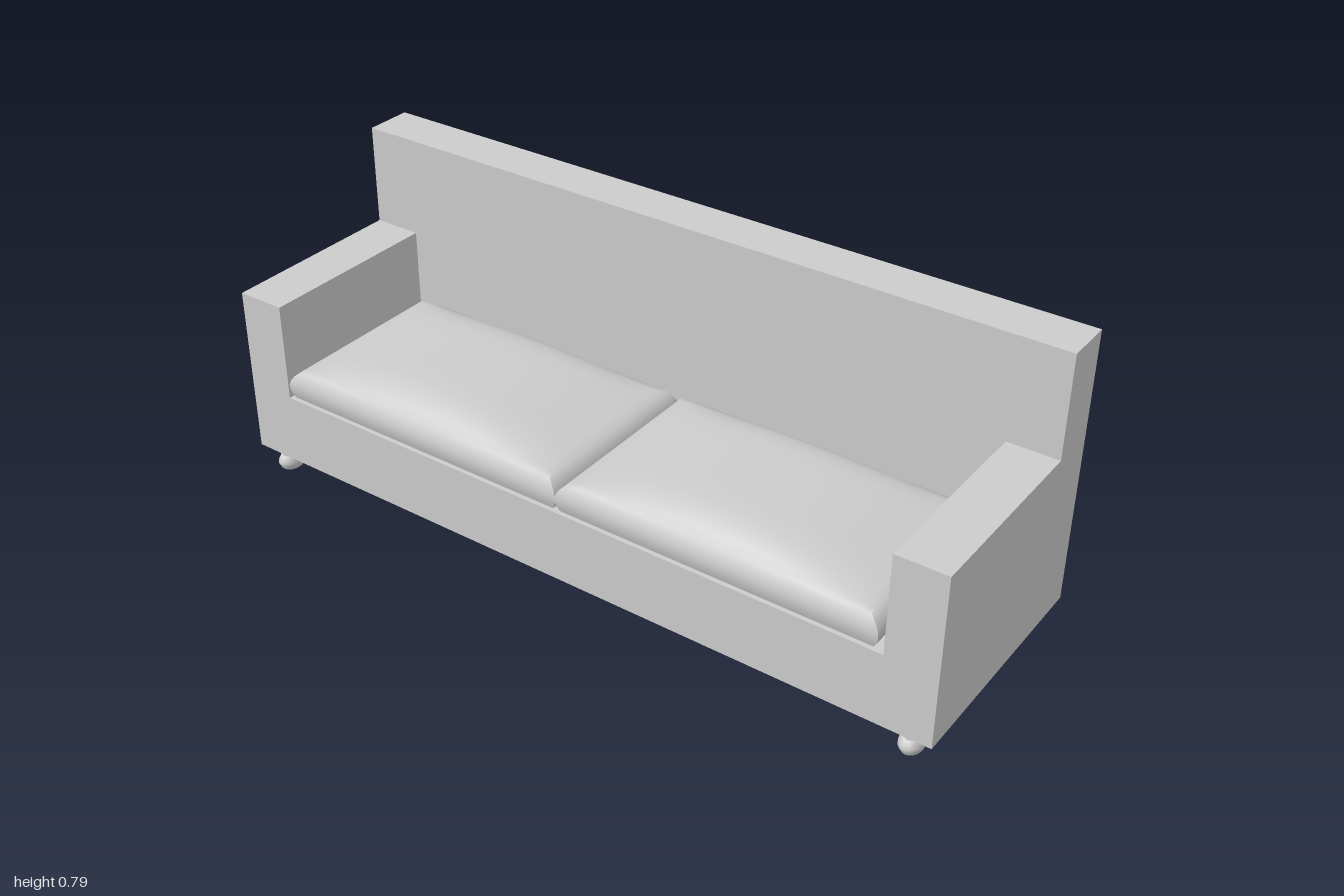
import * as THREE from 'three';
import { mergeVertices, toCreasedNormals } from 'three/addons/utils/BufferGeometryUtils.js';

const material = new THREE.MeshStandardMaterial({ color: 0xcccccc });

function addMesh(parent, name, geometry, x = 0, y = 0, z = 0) {
  const mesh = new THREE.Mesh(geometry, material);
  mesh.name = name;
  mesh.position.set(x, y, z);
  parent.add(mesh);
  return mesh;
}

// Seat cushion: a box with bulging sides and a domed top, resting on y = 0
function cushionGeometry(width, depth) {
  const geometry = new THREE.BoxGeometry(2, 2, 2, 32, 6, 24);
  const p = geometry.attributes.position;
  for (let i = 0; i < p.count; i++) {
    const u = p.getX(i), w = p.getZ(i);
    const t = (p.getY(i) + 1) / 2;
    // Sides are widest a little below the middle, tighter at top and bottom
    const d = t - 0.45;
    const inset = d > 0 ? 0.09 * d * d : 0.06 * d * d;
    const dome = 0.05 * (1 - u * u) * (1 - w ** 6);
    p.setXYZ(i, u * (width / 2 - inset), t * 0.076 + dome * t ** 3, w * (depth / 2 - inset * 0.6));
  }
  geometry.deleteAttribute('normal');
  geometry.deleteAttribute('uv');
  return toCreasedNormals(mergeVertices(geometry), 1.0);
}

export function createModel() {
  const sofa = new THREE.Group();
  sofa.name = 'sofa';

  // Base and both arms as one U-shaped block
  const frame = new THREE.Shape([
    [-1, 0.063], [1, 0.063], [1, 0.52], [0.868, 0.52],
    [0.868, 0.256], [-0.868, 0.256], [-0.868, 0.52], [-1, 0.52],
  ].map(([x, y]) => new THREE.Vector2(x, y)));
  addMesh(sofa, 'baseAndArms',
    new THREE.ExtrudeGeometry(frame, { depth: 0.509, bevelEnabled: false }), 0, 0, -0.19);

  // Backrest across the full width
  addMesh(sofa, 'backrest', new THREE.BoxGeometry(2, 0.727, 0.128), 0, 0.4265, -0.254);

  // Two seat cushions, side by side
  const cushion = cushionGeometry(0.86, 0.505);
  addMesh(sofa, 'rightCushion', cushion, -0.438, 0.256, 0.062);
  addMesh(sofa, 'leftCushion', cushion, 0.42, 0.256, 0.062);

  // Turned feet, narrower across the width than along the depth
  const footProfile = [
    [0, 0], [0.03, 0], [0.035, 0.004], [0.043, 0.018], [0.043, 0.025],
    [0.034, 0.041], [0.029, 0.042], [0.029, 0.064],
  ].map(([r, y]) => new THREE.Vector2(r, y));
  const foot = toCreasedNormals(new THREE.LatheGeometry(footProfile, 24), 0.9);
  for (const [side, x] of [['Left', 0.935], ['Right', -0.935]]) {
    for (const [end, z] of [['front', 0.273], ['back', -0.256]]) {
      addMesh(sofa, `${end}${side}Foot`, foot, x, 0, z).scale.x = 0.7;
    }
  }
  return sofa;
}
